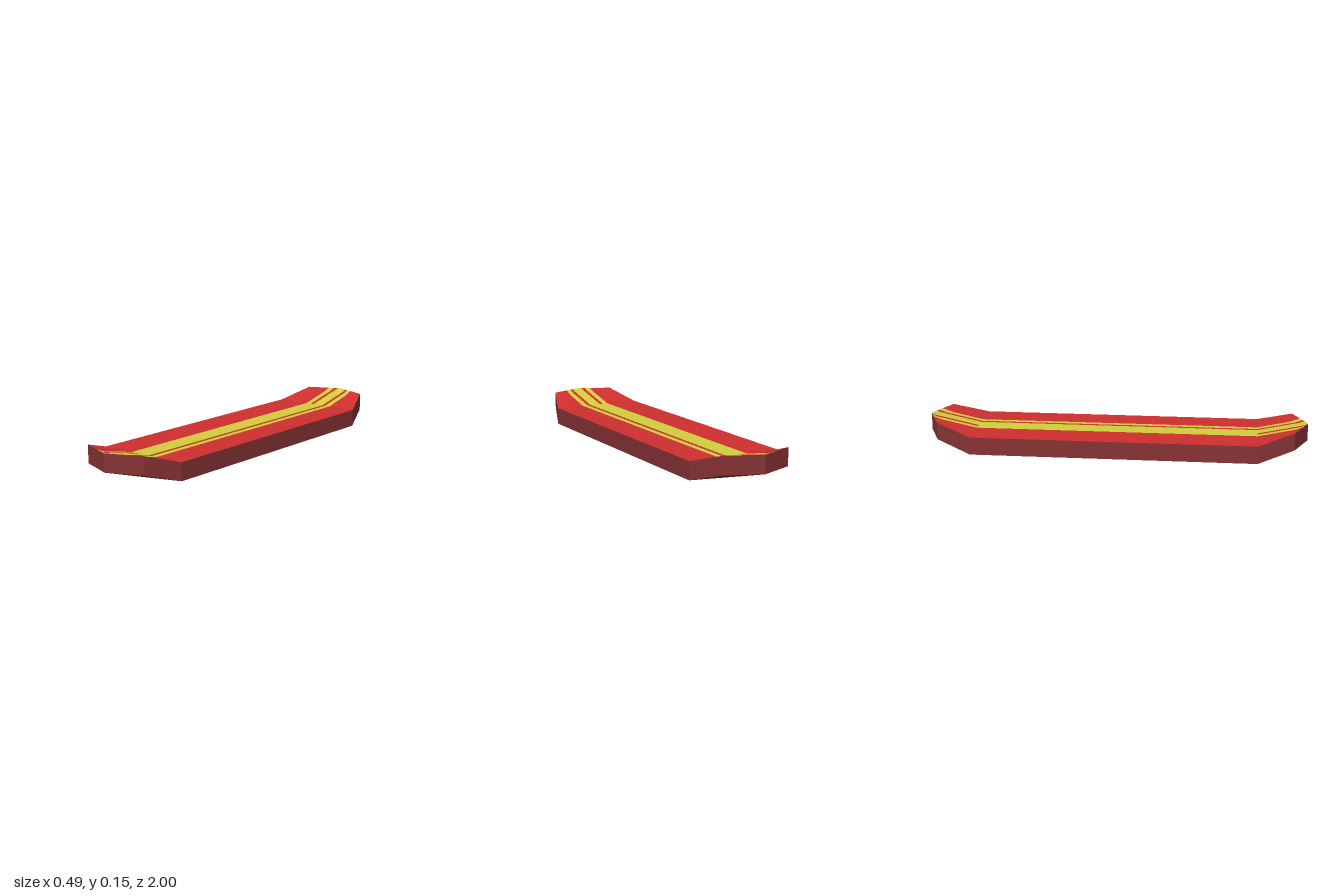
import * as THREE from 'three';

const HALF = 0.247, SHOULDER = 0.18, BEND = 0.74, CORNER = 0.925;
const THICK = 0.092, RISE = 0.056;

const red = new THREE.MeshStandardMaterial({ name: 'gripRed', color: 0xd02f30 });
const yellow = new THREE.MeshStandardMaterial({ name: 'stripeYellow', color: 0xd2cf3c });
const maroon = new THREE.MeshStandardMaterial({ name: 'deckMaroon', color: 0x863334 });

// Cross-board station: z and lift at the bend, at the fold towards the tip and at the rim
function station(x) {
  const a = Math.abs(x);
  const fold = 1 - (1 - BEND) * a / HALF;
  const t = Math.max(0, (a - SHOULDER) / (HALF - SHOULDER));
  const rim = a <= SHOULDER ? 1 - (1 - CORNER) * a / SHOULDER : CORNER + (BEND - CORNER) * t;
  const foldLift = RISE * (fold - BEND) / (1 - BEND);
  const rimLift = RISE * (1 - t);
  return [[-rim, rimLift], [-fold, foldLift], [-BEND, 0], [BEND, 0], [fold, foldLift], [rim, rimLift]]
    .map(([z, y]) => [x, y, z]);
}

// Collects quads into one flat-faced mesh, with an optional shared normal per quad
class Surface {
  constructor() { this.pos = []; this.nor = []; }
  quad(a, b, c, d, normal) {
    for (const p of [a, b, c, a, c, d]) {
      this.pos.push(...p);
      this.nor.push(...normal);
    }
  }
  mesh(name, material) {
    const g = new THREE.BufferGeometry();
    g.setAttribute('position', new THREE.Float32BufferAttribute(this.pos, 3));
    g.setAttribute('normal', new THREE.Float32BufferAttribute(this.nor, 3));
    const m = new THREE.Mesh(g, material);
    m.name = name;
    return m;
  }
}

export function createModel() {
  const board = new THREE.Group();
  board.name = 'skateboardDeck';
  const grip = new Surface(), stripes = new Surface(), base = new Surface(), rim = new Surface();
  const raise = ([x, y, z]) => [x, y + THICK, z];

  // Lengthwise columns; the painted ones make the racing stripes
  const xs = [-HALF, -SHOULDER, -0.07, -0.04, -0.02, 0, 0.04, 0.06, 0.09, SHOULDER, HALF];
  const painted = [-0.07, -0.02, 0, 0.06];
  for (let i = 0; i < xs.length - 1; i++) {
    const l = station(xs[i]), r = station(xs[i + 1]);
    for (let j = 0; j < 5; j++) {
      const tilt = j < 2 ? 0.25 : j > 2 ? -0.25 : 0;
      const n = new THREE.Vector3(0, 1, -tilt).normalize();
      n.z = j < 2 ? Math.abs(n.z) : -Math.abs(n.z);
      // The narrow gap on the right is filled between the bends
      const isStripe = painted.includes(xs[i]) || (xs[i] === -0.04 && j === 2);
      const corners = [l[j], l[j + 1], r[j + 1], r[j]];
      (isStripe ? stripes : grip).quad(...corners.map(raise), n.toArray());
      base.quad(...corners.reverse(), n.negate().toArray());
    }
  }

  // Upright rim around the eight-cornered-plus-tips outline
  const outline = [[0, RISE, 1], [SHOULDER, RISE, CORNER], [HALF, 0, BEND], [HALF, 0, -BEND],
    [SHOULDER, RISE, -CORNER], [0, RISE, -1], [-SHOULDER, RISE, -CORNER], [-HALF, 0, -BEND],
    [-HALF, 0, BEND], [-SHOULDER, RISE, CORNER]];
  outline.forEach((p, i) => {
    const q = outline[(i + 1) % outline.length];
    const n = new THREE.Vector3(p[2] - q[2], 0, q[0] - p[0]).normalize();
    rim.quad(p, q, raise(q), raise(p), n.toArray());
  });

  board.add(
    grip.mesh('deckTop', red),
    stripes.mesh('racingStripes', yellow),
    base.mesh('deckUnderside', maroon),
    rim.mesh('deckRim', maroon),
  );
  return board;
}
